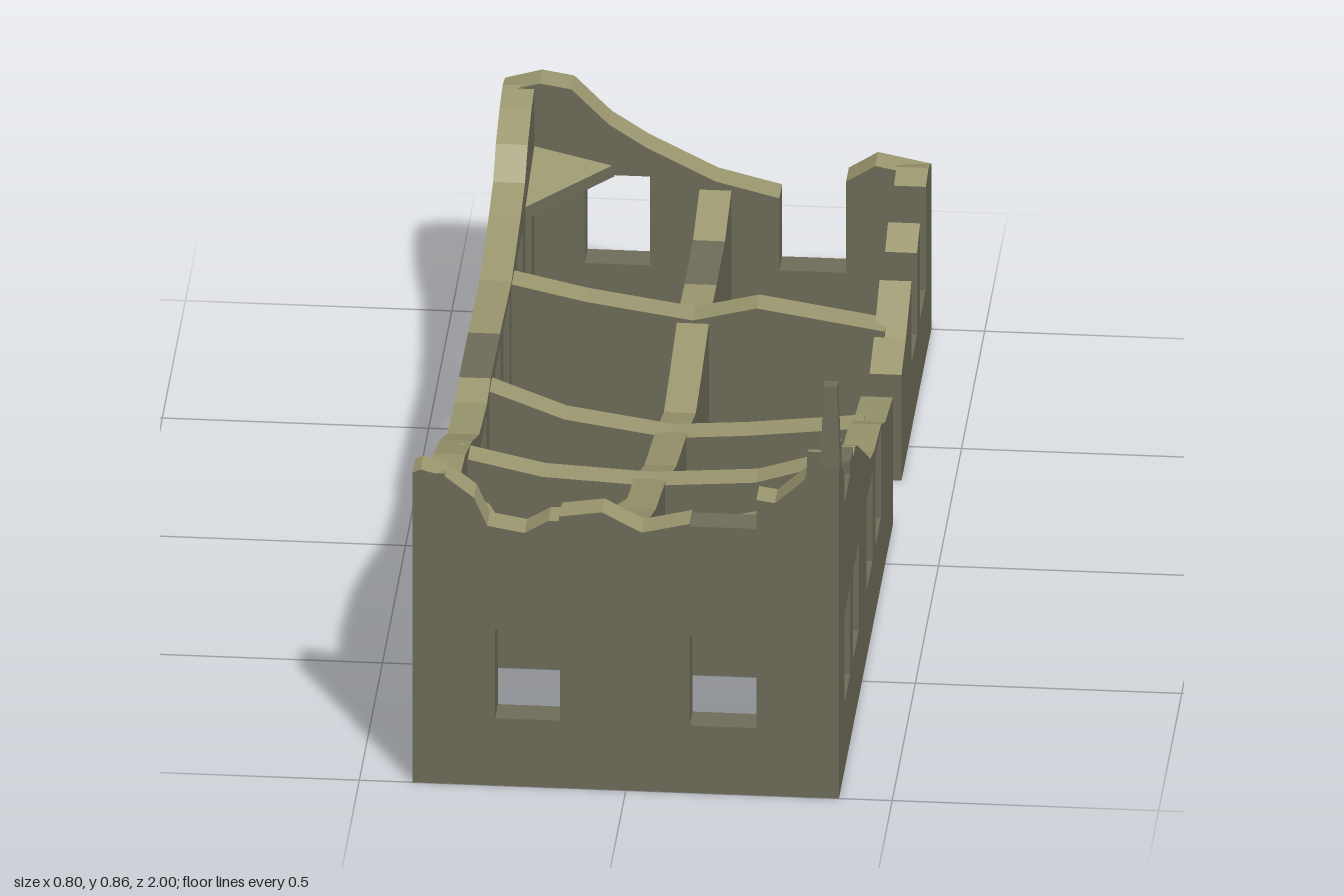
import * as THREE from 'three';

const T = 0.06; // wall thickness
const SILL = 0.14, HEAD = 0.325; // ground floor windows
const stone = new THREE.MeshStandardMaterial({ color: 0x6f6d5a });
const broken = new THREE.MeshStandardMaterial({ color: 0x9c9870 });

// Faceted part: sloping upward faces are freshly broken stone, the rest is plain wall
function part(name, geometry) {
  const g = geometry.index ? geometry.toNonIndexed() : geometry;
  g.computeVertexNormals();
  const p = g.attributes.position, n = g.attributes.normal;
  const sets = [[], []];
  for (let i = 0; i < p.count; i += 3) {
    const ny = n.getY(i);
    const set = sets[ny > 0.1 && ny < 0.9995 ? 1 : 0];
    for (let k = i; k < i + 3; k++) set.push(p.getX(k), p.getY(k), p.getZ(k));
  }
  const group = new THREE.Group();
  group.name = name;
  sets.forEach((set, i) => {
    if (!set.length) return;
    const b = new THREE.BufferGeometry();
    b.setAttribute('position', new THREE.Float32BufferAttribute(set, 3));
    b.computeVertexNormals();
    const mesh = new THREE.Mesh(b, i ? broken : stone);
    mesh.name = name + (i ? 'BrokenTop' : 'Stone');
    group.add(mesh);
  });
  return group;
}

// Upright wall: ragged top line of [distance, height], windows as [from, to].
// axis 'x' runs across at z = at, axis 'z' runs lengthwise at x = at.
function wall(name, axis, at, top, windows = []) {
  const first = top[0][0], last = top[top.length - 1][0];
  const outline = [[first, 0], [last, 0], ...top.slice().reverse()];
  const shape = new THREE.Shape(outline.map(([t, y]) => new THREE.Vector2(t, y)));
  for (const [a, b] of windows) {
    shape.holes.push(new THREE.Path([[a, SILL], [a, HEAD], [b, HEAD], [b, SILL]]
      .map(([t, y]) => new THREE.Vector2(t, y))));
  }
  const g = new THREE.ExtrudeGeometry(shape, { depth: T, bevelEnabled: false });
  g.translate(0, 0, -T / 2);
  if (axis === 'z') g.rotateY(-Math.PI / 2).translate(at, 0, 0);
  else g.translate(0, 0, at);
  return part(name, g);
}

// Remnant of the upper floor: corners [x, z, top height], flat underside
function slab(name, corners, bottom = 0.32) {
  const shape = new THREE.Shape(corners.map(([x, z]) => new THREE.Vector2(x, z)));
  const g = new THREE.ExtrudeGeometry(shape, { depth: 1, bevelEnabled: false });
  g.rotateX(Math.PI / 2);
  const p = g.attributes.position;
  for (let i = 0; i < p.count; i++) {
    const c = corners.find(([x, z]) =>
      Math.abs(x - p.getX(i)) < 1e-4 && Math.abs(z - p.getZ(i)) < 1e-4);
    p.setY(i, p.getY(i) > -0.5 ? c[2] : bottom);
  }
  return part(name, g);
}

export function createModel() {
  const model = new THREE.Group();
  model.name = 'ruinedBuilding';

  const pair = [[-0.245, -0.123], [0.12, 0.245]];
  const frontHalf = [[0.09, 0.21], [0.275, 0.4], [0.57, 0.69], [0.755, 0.88]];
  const backHalf = frontHalf.map(([a, b]) => [-b, -a]);

  // Outer walls
  model.add(
    wall('frontWall', 'x', 0.97, [
      [-0.4, 0.645], [-0.385, 0.652], [-0.34, 0.64], [-0.285, 0.597], [-0.26, 0.54],
      [-0.19, 0.528], [-0.145, 0.555], [-0.125, 0.556], [-0.125, 0.565], [-0.045, 0.577],
      [0.03, 0.538], [0.12, 0.56], [0.12, 0.555], [0.245, 0.555], [0.245, 0.615],
      [0.28, 0.61], [0.335, 0.66], [0.368, 0.71], [0.4, 0.72]], pair),
    wall('backWall', 'x', -0.97, [
      [-0.4, 0.49], [-0.33, 0.51], [-0.27, 0.5], [-0.2, 0.43], [-0.13, 0.385],
      [0, 0.32], [0.12, 0.29], [0.12, SILL], [0.245, SILL], [0.245, 0.33],
      [0.3, 0.365], [0.4, 0.345]], [pair[0]]),
    wall('leftWall', 'z', -0.37, [
      [-1, 0.49], [-0.95, 0.5], [-0.88, 0.485], [-0.8, 0.45], [-0.74, 0.4],
      [-0.65, 0.375], [-0.45, 0.337], [-0.2, 0.35], [0, 0.355], [0.08, 0.342],
      [0.25, 0.36], [0.4, 0.42], [0.55, 0.465], [0.7, 0.48], [0.87, 0.47],
      [0.93, 0.58], [0.97, 0.64], [1, 0.645]], [...frontHalf, ...backHalf]),
    wall('rightWallFront', 'z', 0.37, [
      [-0.167, 0.265], [0, 0.295], [0.085, 0.332], [0.24, 0.352], [0.32, 0.375],
      [0.6, 0.54], [0.64, 0.558], [0.69, 0.562], [0.69, 0.58], [0.755, 0.582],
      [0.755, 0.555], [0.88, 0.555], [0.88, 0.62], [0.95, 0.67], [0.97, 0.71],
      [1, 0.72]], frontHalf),
    wall('rightWallBack', 'z', 0.37, [
      [-1, 0.345], [-0.94, 0.365], [-0.88, 0.355], [-0.88, SILL], [-0.755, SILL],
      [-0.755, 0.34], [-0.69, 0.31], [-0.69, SILL], [-0.57, SILL], [-0.57, 0.31],
      [-0.45, 0.25], [-0.355, 0.22]]),
  );

  // Tall splinter left standing at the front right corner
  const spike = new THREE.CylinderGeometry(0.0177, 0.026, 0.165, 4, 1);
  spike.rotateY(Math.PI / 4).translate(0.3835, 0.7725, 0.9835);
  model.add(part('cornerSplinter', spike));

  // Inner walls
  model.add(
    wall('spineWall', 'z', 0, [
      [-0.97, 0.31], [-0.8, 0.265], [-0.62, 0.262], [-0.48, 0.27], [-0.3, 0.235],
      [-0.17, 0.215], [0, 0.26], [0.25, 0.31], [0.47, 0.39], [0.7, 0.44], [0.96, 0.53]]),
    wall('backCrossWall', 'x', -0.48, [
      [-0.36, 0.335], [-0.2, 0.3], [0, 0.27], [0.12, 0.3], [0.36, 0.262]]),
    wall('middleCrossWall', 'x', 0, [
      [-0.36, 0.35], [-0.2, 0.29], [0, 0.26], [0.14, 0.27], [0.36, 0.295]]),
    wall('frontCrossWall', 'x', 0.47, [
      [-0.36, 0.435], [-0.2, 0.4], [0, 0.39], [0.2, 0.405], [0.36, 0.455]]),
  );

  // Remains of the upper floor
  model.add(
    slab('frontRightFloor', [
      [0.03, 0.94, 0.38], [0.34, 0.94, 0.38], [0.34, 0.5, 0.38], [0.2, 0.64, 0.38],
      [0.13, 0.77, 0.38], [0.03, 0.63, 0.38]]),
    slab('frontRightFloorEdge', [
      [0.03, 0.63, 0.38], [0.13, 0.77, 0.38], [0.2, 0.64, 0.38], [0.34, 0.5, 0.38],
      [0.18, 0.5, 0.335], [0.14, 0.52, 0.33], [0.06, 0.54, 0.33], [0.03, 0.52, 0.34]]),
    slab('frontLeftFloorSide', [
      [-0.34, 0.94, 0.39], [-0.34, 0.5, 0.365], [-0.3, 0.5, 0.34], [-0.23, 0.66, 0.33],
      [-0.24, 0.82, 0.34]]),
    slab('frontLeftFloorMiddle', [
      [-0.34, 0.94, 0.39], [-0.24, 0.82, 0.34], [-0.15, 0.68, 0.33], [-0.08, 0.5, 0.335],
      [-0.03, 0.5, 0.37], [-0.03, 0.94, 0.41]]),
    slab('backLeftFloorCorner', [
      [-0.34, -0.945, 0.38], [-0.19, -0.945, 0.345], [-0.34, -0.75, 0.345]]),
    slab('rightFloorCorner', [
      [0.34, 0.44, 0.38], [0.24, 0.44, 0.35], [0.34, 0.33, 0.36]]),
  );

  return model;
}
